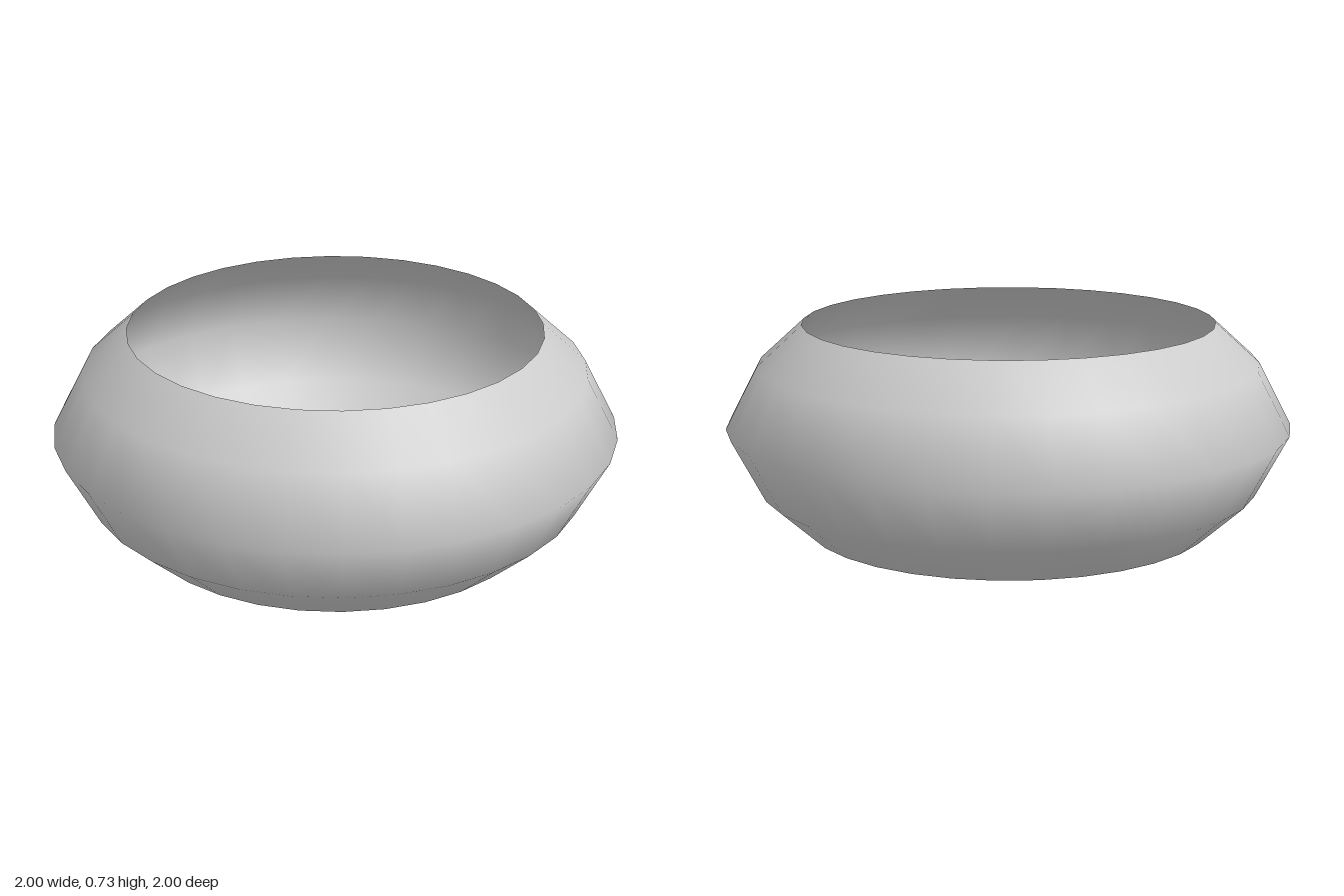
import * as THREE from 'three';

export function createModel() {
  const group = new THREE.Group();
  group.name = 'ring';

  // Open, bulging band: profile from bottom rim to top rim
  const profile = [
    [0.728, 0],
    [0.885, 0.143],
    [1, 0.364],
    [0.885, 0.585],
    [0.728, 0.728],
  ].map(([r, y]) => new THREE.Vector2(r, y));

  const band = new THREE.Mesh(
    new THREE.LatheGeometry(profile, 32),
    new THREE.MeshStandardMaterial({ color: 0xcccccc, side: THREE.DoubleSide })
  );
  band.name = 'band';
  group.add(band);
  return group;
}
